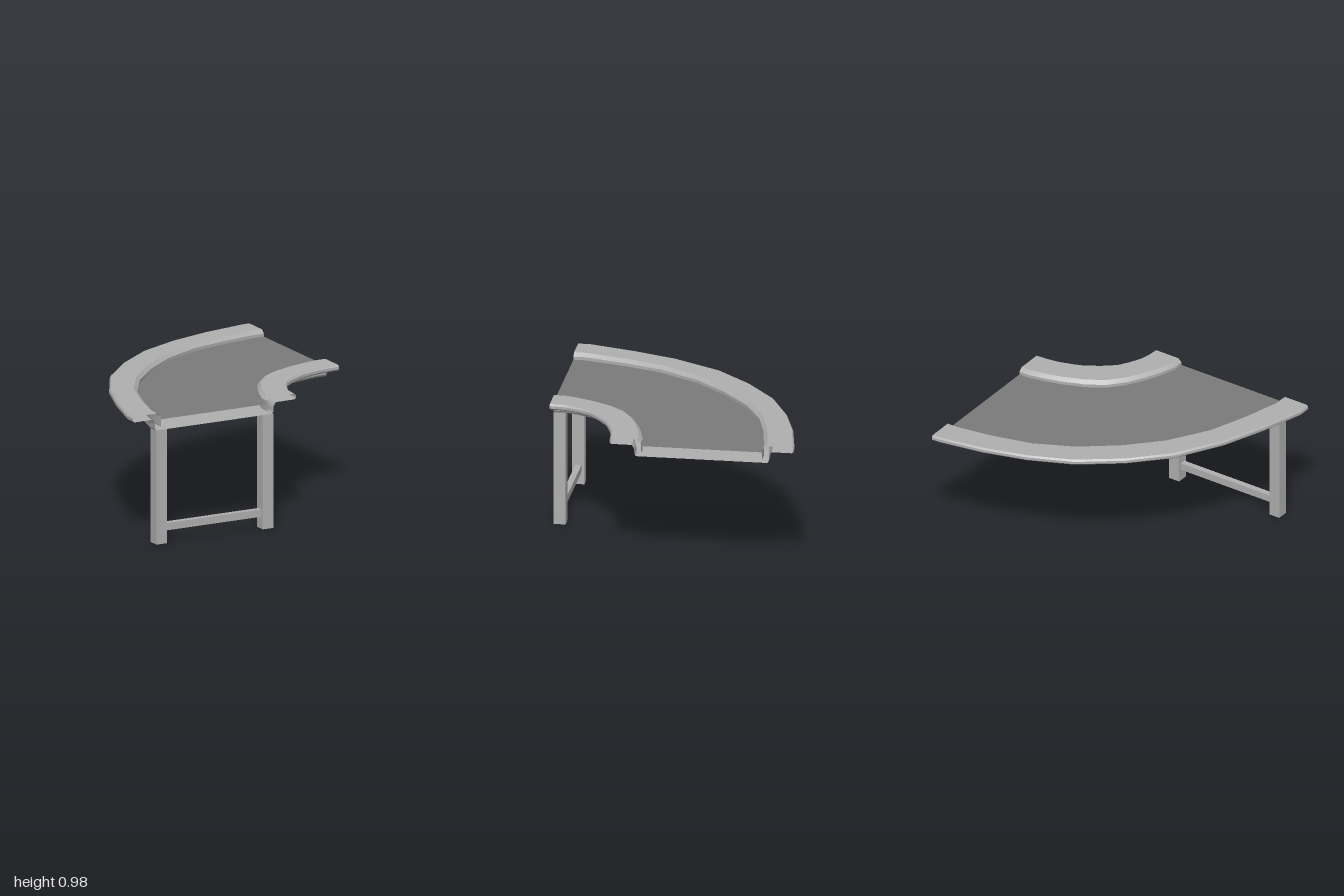
import * as THREE from 'three';
import { toCreasedNormals } from 'three/addons/utils/BufferGeometryUtils.js';

// Plan lines (x, z) from the front end round to the side end
const OUTER_EDGE = [[-1, .94], [-1, .85], [-.9, .51], [-.78, .19], [-.58, -.16], [-.33, -.42],
  [-.04, -.64], [.28, -.785], [.6, -.88], [.93, -.94], [1, -.945]];
const OUTER_WALL = [[-.77, .94], [-.77, .85], [-.69, .55], [-.59, .27], [-.41, -.02], [-.185, -.255],
  [.07, -.455], [.35, -.595], [.64, -.67], [.92, -.715], [1, -.715]];
const INNER_WALL = [[.11, .94], [.11, .86], [.15, .74], [.21, .61], [.28, .49], [.38, .375],
  [.51, .295], [.675, .23], [.8, .195], [.92, .17], [1, .17]];
const INNER_EDGE = [[.345, .94], [.35, .86], [.365, .79], [.405, .7], [.455, .62], [.54, .55],
  [.645, .48], [.725, .45], [.82, .42], [.92, .405], [1, .4]];

// Sections: [fraction from wall to edge, height]
const RAIL = [[0, .877], [0, .955], [.12, .98], [.95, .98], [1, .967], [1, .948], [.95, .937],
  [.3, .937], [.27, .928], [.22, .908], [.21, .868], [.165, .853]];
const BELT = [[0, .932]];

const frameMaterial = new THREE.MeshStandardMaterial({ color: 0xafafaf, side: THREE.DoubleSide });
const beltMaterial = new THREE.MeshStandardMaterial({ color: 0x7a7a7a, side: THREE.DoubleSide });

// Cross-section at one station: the profile on the outer side, then mirrored on the inner side
function section(profile, i) {
  const side = (wall, edge) => profile.map(([u, y]) => new THREE.Vector3(
    THREE.MathUtils.lerp(wall[i][0], edge[i][0], u), y,
    THREE.MathUtils.lerp(wall[i][1], edge[i][1], u)));
  return [...side(OUTER_WALL, OUTER_EDGE).reverse(), ...side(INNER_WALL, INNER_EDGE)];
}

// Skins selected strips of the section along the curve; ends stay open
function sweep(name, profile, strips, material) {
  const rows = OUTER_EDGE.map((_, i) => section(profile, i));
  const points = [];
  for (let i = 0; i < rows.length - 1; i++) {
    for (const j of strips) {
      const k = (j + 1) % rows[i].length;
      const a = rows[i][j], b = rows[i][k], c = rows[i + 1][j], d = rows[i + 1][k];
      points.push(a, b, c, b, d, c);
    }
  }
  const geometry = new THREE.BufferGeometry().setFromPoints(points);
  const mesh = new THREE.Mesh(toCreasedNormals(geometry, 0.5), material);
  mesh.name = name;
  return mesh;
}

const range = (from, to) => Array.from({ length: to - from }, (_, i) => from + i);

export function createModel() {
  const group = new THREE.Group();
  group.name = 'curvedConveyor';

  // Curved track: hollow frame with a thin belt above its floor
  const n = RAIL.length;
  group.add(
    sweep('outerRail', RAIL, range(0, n - 1), frameMaterial),
    sweep('floor', RAIL, [n - 1], frameMaterial),
    sweep('innerRail', RAIL, range(n, 2 * n - 1), frameMaterial),
    sweep('underside', RAIL, [2 * n - 1], frameMaterial),
    sweep('belt', BELT, [0], beltMaterial),
  );

  // Square tube legs, open at the ends
  for (const [name, x] of [['rightLeg', -.763], ['leftLeg', .115]]) {
    const tube = new THREE.CylinderGeometry(Math.SQRT1_2, Math.SQRT1_2, 1, 4, 1, true)
      .rotateY(Math.PI / 4).scale(.088, .853, .088);
    const leg = new THREE.Mesh(toCreasedNormals(tube, 0.5), frameMaterial);
    leg.name = name;
    leg.position.set(x, .4265, .897);
    group.add(leg);
  }

  // Cross bar between the legs
  const bar = new THREE.Mesh(new THREE.BoxGeometry(.79, .055, .045), frameMaterial);
  bar.name = 'crossBar';
  bar.position.set(-.324, .117, .897);
  group.add(bar);

  return group;
}
